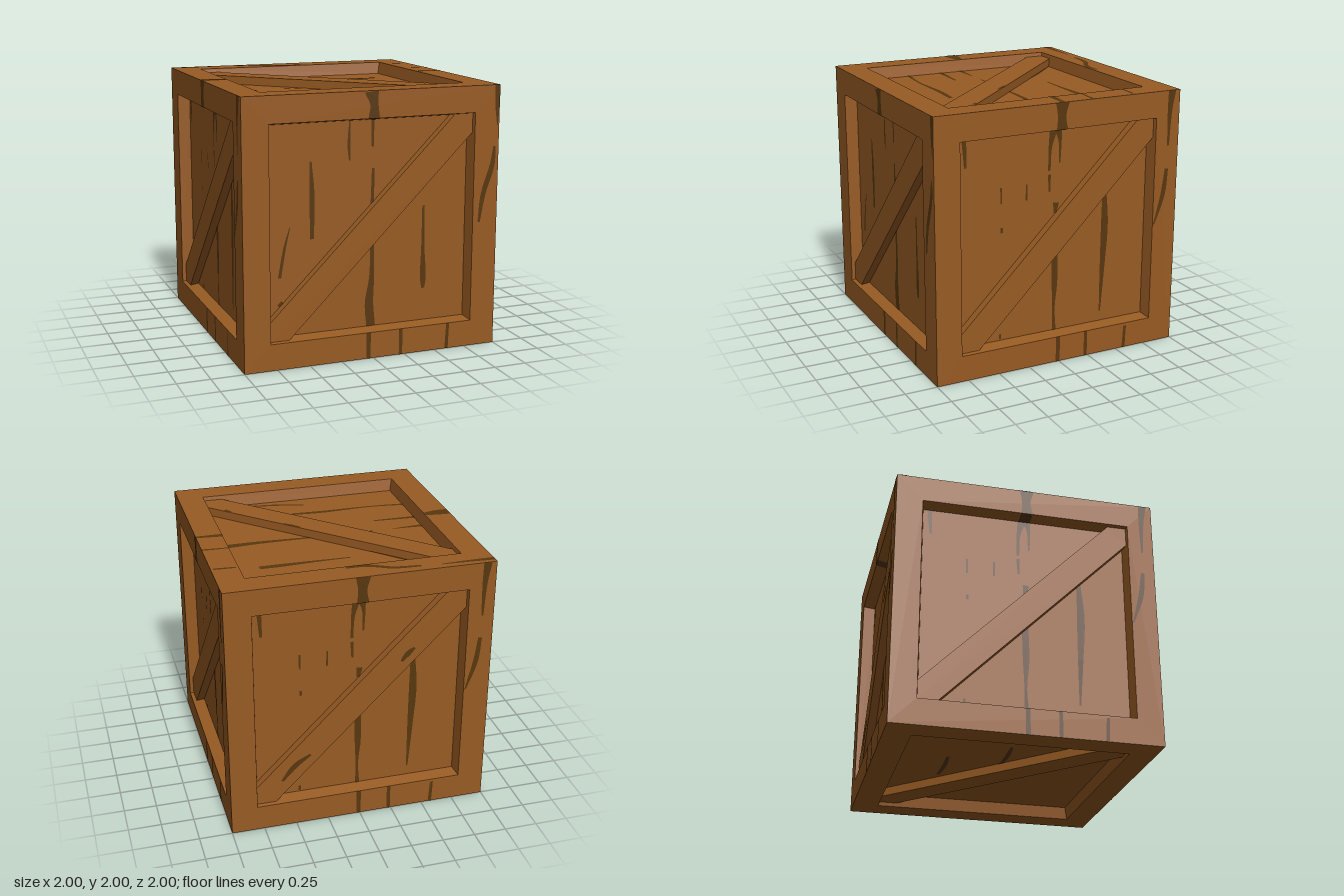
import * as THREE from 'three';

const wood = new THREE.MeshStandardMaterial({ color: 0x985b23, side: THREE.DoubleSide, flatShading: true });
wood.name = 'brown wood';
const dark = new THREE.MeshStandardMaterial({ color: 0x58370f, side: THREE.DoubleSide, flatShading: true });
dark.name = 'dark grain';

const OPEN = 0.8, FLOOR = 0.78, DEPTH = 0.095; // recess opening, floor half size, depth
const PANEL = 1 - DEPTH, BEAM = 0.97;          // heights of panel and brace faces

// Grain streaks: lists of [u, v, half width] on a face
const frontGrain = {
  frame: [
    [[-0.03, 1, 0.055], [-0.01, 0.9, 0.032], [-0.01, 0.8, 0.045]],
    [[0.98, 1, 0.022], [0.98, 0.85, 0.018], [0.985, 0.7, 0.004]],
    [[0.965, 0.54, 0.01], [0.95, 0.4, 0.02], [0.88, 0.18, 0.02], [0.85, -0.03, 0.01]],
    [[-0.04, -0.8, 0.017], [-0.04, -1, 0.017]],
    [[0.22, -0.8, 0.014], [0.22, -1, 0.014]],
    [[0.61, -0.8, 0.012], [0.6, -1, 0.014]],
  ],
  panel: [
    [[-0.46, 0.5, 0.008], [-0.45, 0.25, 0.02], [-0.45, -0.07, 0.014]],
    [[-0.16, 0.78, 0.004], [-0.165, 0.6, 0.012], [-0.16, 0.49, 0.006]],
    [[0.02, 0.78, 0.012], [0.02, 0.58, 0.008]],
    [[0.025, 0.42, 0.01], [0.02, 0.15, 0.014]],
    [[0.02, -0.1, 0.014], [0.02, -0.4, 0.02], [0, -0.6, 0.034], [0.015, -0.78, 0.035]],
    [[0.435, 0.11, 0.01], [0.435, -0.2, 0.013], [0.44, -0.45, 0.024], [0.44, -0.53, 0.012]],
    [[-0.62, 0.03, 0.003], [-0.66, -0.12, 0.01], [-0.7, -0.34, 0.012]],
    [[-0.68, -0.52, 0.012], [-0.71, -0.55, 0.012]],
  ],
  beam: [],
};
const sideGrain = {
  frame: [
    [[0, 1, 0.055], [-0.005, 0.9, 0.034], [0, 0.8, 0.045]],
    [[0.93, 1, 0.032], [0.915, 0.85, 0.02], [0.91, 0.58, 0.008]],
    [[0.905, 0.4, 0.015], [0.88, 0.2, 0.02], [0.81, -0.03, 0.006]],
    [[-0.01, -0.8, 0.017], [-0.01, -1, 0.017]],
    [[0.23, -0.8, 0.014], [0.23, -1, 0.014]],
    [[0.58, -0.82, 0.012], [0.57, -1, 0.014]],
  ],
  panel: [
    [[-0.02, 0.78, 0.03], [-0.045, 0.65, 0.014], [-0.05, 0.48, 0.01]],
    [[0.02, 0.78, 0.03], [0.035, 0.7, 0.014], [0.035, 0.53, 0.006]],
    [[-0.05, 0.45, 0.012], [-0.045, 0.32, 0.008]],
    [[-0.73, 0.78, 0.018], [-0.72, 0.58, 0.01]],
    [[-0.44, 0.4, 0.008], [-0.44, 0.28, 0.007]],
    [[-0.435, 0.1, 0.009], [-0.435, 0.06, 0.009]],
    [[-0.235, 0.4, 0.006], [-0.235, 0.28, 0.008]],
    [[0.01, 0.23, 0.025], [0, 0.15, 0.012]],
    [[0, -0.12, 0.025], [0.005, -0.4, 0.024], [0, -0.6, 0.01], [0.005, -0.78, 0.016]],
    [[0.42, 0.3, 0.015], [0.43, 0, 0.03], [0.42, -0.3, 0.022], [0.405, -0.7, 0.006]],
    [[-0.45, -0.73, 0.009], [-0.45, -0.77, 0.009]],
  ],
  beam: [],
};
const backGrain = { ...sideGrain, beam: [
  [[0.31, 0.27, 0.01], [0.36, 0.33, 0.022], [0.41, 0.37, 0.01]],
  [[-0.6, -0.62, 0.01], [-0.5, -0.5, 0.022], [-0.38, -0.42, 0.01]],
] };
const topGrain = {
  frame: [
    [[-1, 0.95, 0.022], [-0.8, 0.945, 0.015], [-0.6, 0.945, 0.006]],
    [[-0.45, 0.93, 0.012], [-0.25, 0.91, 0.018], [-0.08, 0.83, 0.018], [0.08, 0.825, 0.015]],
    [[0.82, 0.61, 0.01], [0.98, 0.6, 0.012]],
    [[0.8, 0.26, 0.008], [1, 0.25, 0.013]],
    [[-1, 0.015, 0.05], [-0.9, 0.015, 0.045], [-0.8, 0.02, 0.025]],
    [[0.8, 0.015, 0.025], [1, 0.005, 0.015]],
  ],
  panel: [
    [[-0.07, 0.455, 0.007], [0.2, 0.455, 0.014], [0.45, 0.46, 0.024], [0.62, 0.46, 0.024]],
    [[-0.78, 0.015, 0.02], [-0.54, 0.02, 0.004]],
    [[-0.38, 0.02, 0.008], [0.1, 0.02, 0.012], [0.5, 0.01, 0.022], [0.78, 0.02, 0.032]],
    [[-0.78, -0.165, 0.018], [-0.45, -0.175, 0.01]],
    [[-0.78, -0.45, 0.015], [-0.5, -0.475, 0.01], [-0.1, -0.465, 0.02], [0.14, -0.48, 0.016]],
    [[0, -0.65, 0.008], [0.2, -0.7, 0.014], [0.41, -0.73, 0.012]],
    [[-0.63, 0.77, 0.01], [-0.42, 0.56, 0.02], [-0.25, 0.39, 0.012]],
  ],
  beam: [
    [[0.18, -0.05, 0.006], [0.24, -0.11, 0.012], [0.29, -0.16, 0.004]],
    [[0.63, -0.5, 0.008], [0.67, -0.55, 0.014]],
  ],
};
const bottomGrain = {
  frame: [],
  panel: [
    [[0.21, -0.42, 0.012], [0, -0.41, 0.018], [-0.2, -0.42, 0.012]],
    [[-0.08, 0, 0.012], [-0.3, 0.01, 0.018], [-0.5, 0, 0.012]],
  ],
  beam: [],
};

function add(group, name, geometry, material, z = 0) {
  const mesh = new THREE.Mesh(geometry, material);
  mesh.name = name;
  mesh.position.z = z;
  group.add(mesh);
  return mesh;
}

const square = (s) => [[-s, -s], [s, -s], [s, s], [-s, s]].map(([x, y]) => new THREE.Vector2(x, y));

// Flat ribbon of varying width along a smooth line
function ribbon(points) {
  const line = new THREE.CatmullRomCurve3(points.map((p) => new THREE.Vector3(...p))).getPoints(10);
  const left = [], right = [];
  line.forEach((p, i) => {
    const a = line[Math.max(i - 1, 0)], b = line[Math.min(i + 1, 10)];
    const n = new THREE.Vector2(a.y - b.y, b.x - a.x).normalize().multiplyScalar(p.z);
    const c = (v) => THREE.MathUtils.clamp(v, -1, 1);
    left.push(new THREE.Vector2(c(p.x + n.x), c(p.y + n.y)));
    right.unshift(new THREE.Vector2(c(p.x - n.x), c(p.y - n.y)));
  });
  return new THREE.ShapeGeometry(new THREE.Shape([...left, ...right]));
}

// One crate face looking along +z; flip is -1 when the brace falls to the right
function crateFace(name, grain, flip) {
  const face = new THREE.Group();
  face.name = name;

  const border = new THREE.Shape(square(1));
  border.holes.push(new THREE.Path(square(OPEN).reverse()));
  add(face, 'frame', new THREE.ShapeGeometry(border), wood, 1);

  // Slightly sloping walls of the recess
  const walls = new THREE.CylinderGeometry(OPEN * Math.SQRT2, FLOOR * Math.SQRT2, DEPTH, 4, 1, true);
  walls.rotateY(Math.PI / 4).rotateX(Math.PI / 2);
  const flat = walls.toNonIndexed();
  flat.computeVertexNormals();
  add(face, 'recessWalls', flat, wood, 1 - DEPTH / 2);
  add(face, 'panel', new THREE.PlaneGeometry(FLOOR * 2, FLOOR * 2), wood, PANEL);

  // Diagonal brace with mitred ends
  const e = 0.794, c = 0.145;
  const outline = [[-e, -e], [c - e, -e], [e, e - c], [e, e], [e - c, e], [-e, c - e]];
  const brace = new THREE.Shape(outline.map(([x, y]) => new THREE.Vector2(x * flip, y)));
  add(face, 'diagonalBrace', new THREE.ExtrudeGeometry(brace, { depth: BEAM - PANEL, bevelEnabled: false }), wood, PANEL);

  // Grain streaks lying on each level
  const levels = { frame: 1, panel: PANEL, beam: BEAM };
  for (const key in levels) {
    grain[key].forEach((s) => add(face, key + 'Grain', ribbon(s), dark, levels[key] + 0.002));
  }
  // Streak running over the upper recess wall
  if (flip > 0) {
    const wall = add(face, 'wallGrain', new THREE.PlaneGeometry(0.09, DEPTH), dark, 1 - DEPTH / 2);
    wall.position.y = (OPEN + FLOOR) / 2 - 0.002;
    wall.rotation.x = Math.PI / 2 - Math.atan((OPEN - FLOOR) / DEPTH);
  }
  return face;
}

export function createModel() {
  const crate = new THREE.Group();
  crate.name = 'crate';
  const H = Math.PI / 2;
  const faces = [
    ['frontFace', frontGrain, 1, 0, 0],
    ['leftFace', sideGrain, 1, 0, H],
    ['backFace', backGrain, 1, 0, 2 * H],
    ['rightFace', sideGrain, 1, 0, -H],
    ['topFace', topGrain, -1, -H, 0],
    ['bottomFace', bottomGrain, -1, H, 0],
  ];
  for (const [name, grain, flip, rx, ry] of faces) {
    const face = crateFace(name, grain, flip);
    face.rotation.set(rx, ry, 0);
    face.position.y = 1;
    crate.add(face);
  }
  return crate;
}
